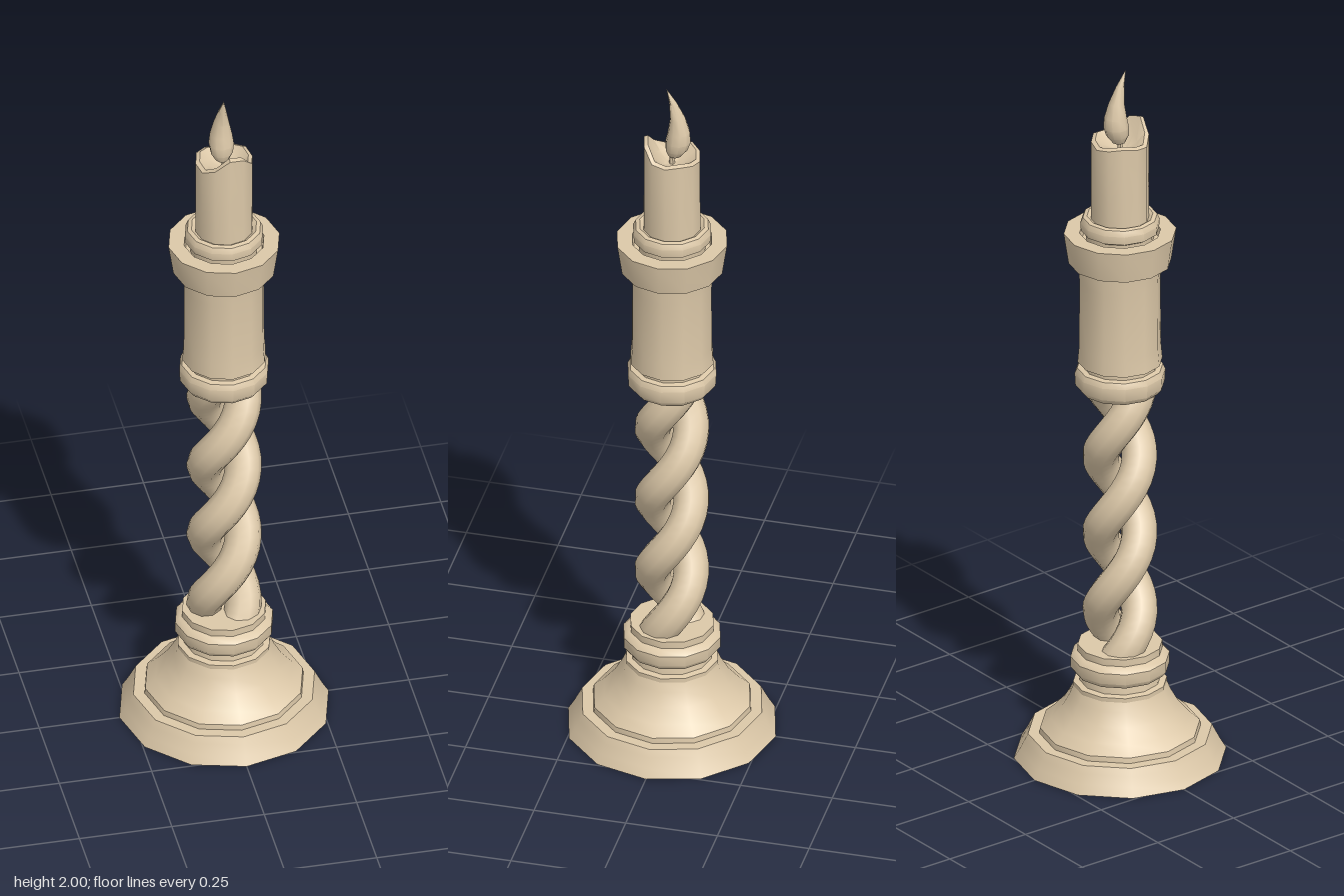
import * as THREE from 'three';
import { toCreasedNormals } from 'three/addons/utils/BufferGeometryUtils.js';

const material = new THREE.MeshStandardMaterial({ color: 0xdcc8a8, side: THREE.DoubleSide });

function addMesh(group, name, geometry) {
  const mesh = new THREE.Mesh(toCreasedNormals(geometry, 0.65), material);
  mesh.name = name;
  group.add(mesh);
  return mesh;
}

// Twelve-sided turned part from [radius, height] pairs, listed bottom to top
function turned(profile, sides = 12) {
  return new THREE.LatheGeometry(profile.map(([r, y]) => new THREE.Vector2(r, y)), sides);
}

// Move every vertex by a rule
function reshape(geometry, rule) {
  const pos = geometry.attributes.position;
  const v = new THREE.Vector3();
  for (let i = 0; i < pos.count; i++) {
    v.fromBufferAttribute(pos, i);
    rule(v);
    pos.setXYZ(i, v.x, v.y, v.z);
  }
  return geometry;
}

// One strand of the twisted stem
class Twist extends THREE.Curve {
  constructor(phase) {
    super();
    this.phase = phase;
  }
  getPoint(t, target = new THREE.Vector3()) {
    const y = 0.29 + t * 0.82;
    const a = this.phase - (y - 1.03) / 0.45 * Math.PI * 2;
    return target.set(0.051 * Math.cos(a), y, 0.051 * Math.sin(a));
  }
}

export function createModel() {
  const group = new THREE.Group();

  // Hollow flared foot
  addMesh(group, 'foot', turned([
    [0.283, 0], [0.268, 0.025], [0.255, 0.05], [0.245, 0.07], [0.215, 0.07],
    [0.213, 0.085], [0.185, 0.11], [0.155, 0.145], [0.135, 0.18], [0.125, 0.205],
  ]));

  // Collar rings between foot and stem
  addMesh(group, 'lowerCollar', turned([
    [0.125, 0.205], [0.125, 0.217], [0.108, 0.22], [0.105, 0.243], [0.122, 0.246],
    [0.132, 0.26], [0.132, 0.29], [0.12, 0.303], [0.113, 0.305], [0.113, 0.325], [0, 0.325],
  ]));

  // Two strands wound around each other
  for (let i = 0; i < 2; i++) {
    addMesh(group, 'stemStrand', new THREE.TubeGeometry(new Twist(i * Math.PI), 40, 0.049, 10));
  }

  // Ring under the socket
  addMesh(group, 'upperCollar', turned([
    [0, 1.07], [0.107, 1.07], [0.119, 1.085], [0.121, 1.12], [0.114, 1.135],
    [0.1, 1.138], [0.1, 1.15], [0.108, 1.153],
  ]));

  // Socket with a flared rim
  addMesh(group, 'socket', turned([
    [0, 1.153], [0.113, 1.153], [0.109, 1.2], [0.108, 1.39], [0.112, 1.443],
    [0.137, 1.443], [0.15, 1.53], [0.108, 1.53], [0.104, 1.505], [0, 1.505],
  ]));

  // Bead around the candle
  addMesh(group, 'candleRing', turned([
    [0.09, 1.505], [0.092, 1.53], [0.104, 1.537], [0.106, 1.56],
    [0.099, 1.575], [0.088, 1.578], [0.076, 1.57],
  ]));

  // Candle with a melted hollow and a raised lip at the front
  const candle = turned([
    [0.078, 1.51], [0.077, 1.66], [0.077, 1.795], [0.066, 1.8], [0.045, 1.785], [0.02, 1.772], [0, 1.77],
  ]);
  addMesh(group, 'candle', reshape(candle, (v) => {
    const r = Math.hypot(v.x, v.z);
    if (v.y < 1.78 || r < 0.04) return;
    const a = Math.atan2(v.x, v.z);
    const lift = 0.046 * Math.exp(-((a - 0.25) ** 2) / 0.5) + 0.007 * Math.cos(3 * a);
    v.y += lift * (r > 0.06 ? 1 : 0.3);
  }));

  // Short wick
  const wick = addMesh(group, 'wick', new THREE.CylinderGeometry(0.006, 0.008, 0.05, 6));
  wick.position.y = 1.79;

  // Flame that leans back, then curls forward at the tip
  const flame = turned([
    [0, 1.79], [0.018, 1.795], [0.03, 1.815], [0.034, 1.84], [0.03, 1.87],
    [0.021, 1.91], [0.011, 1.955], [0, 2],
  ], 10);
  addMesh(group, 'flame', reshape(flame, (v) => {
    const t = (v.y - 1.79) / 0.21;
    v.x -= 0.004;
    v.z += -0.006 - 0.022 * Math.sin(Math.PI * t) + 0.022 * t;
  }));

  return group;
}
